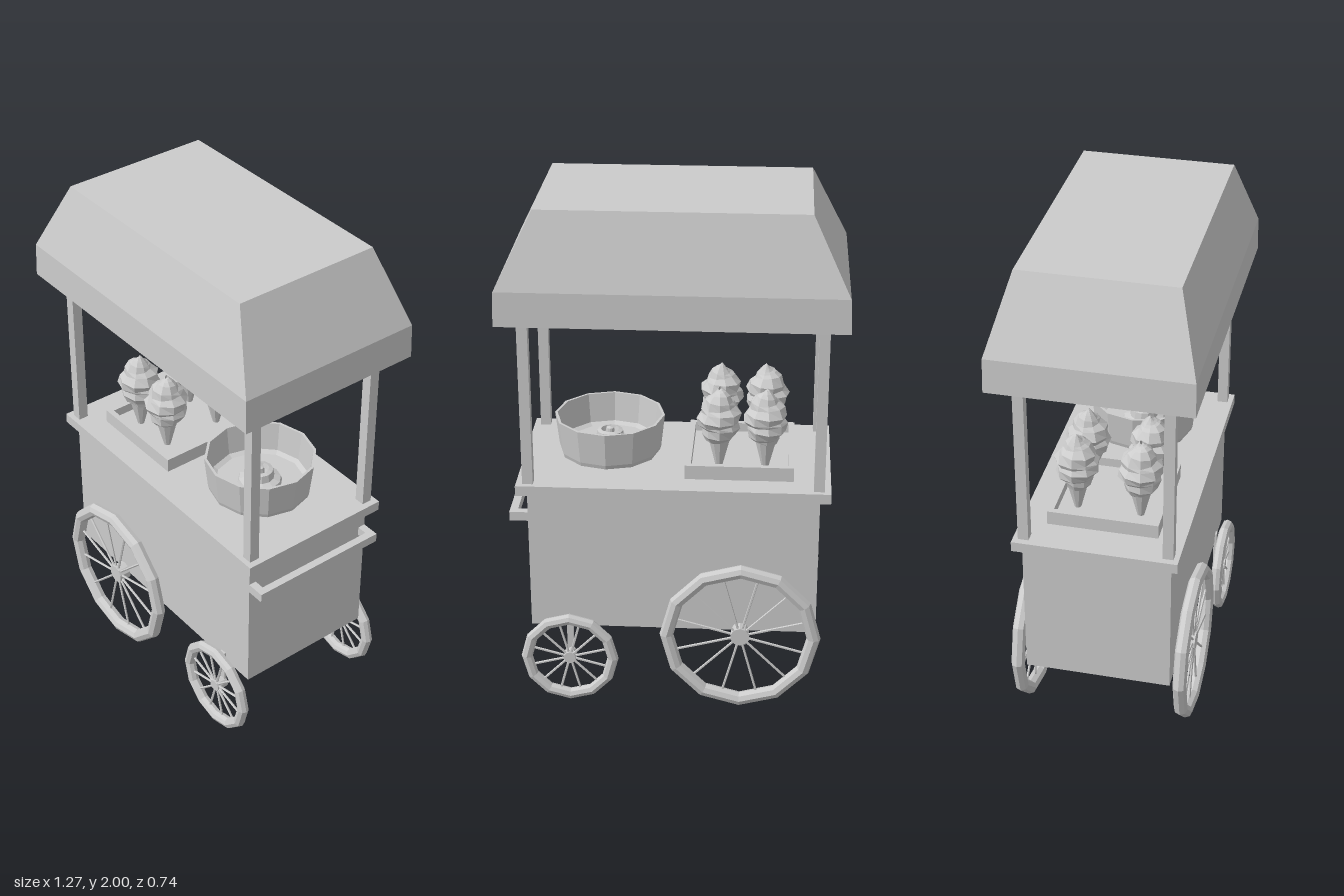
import * as THREE from 'three';

const mat = new THREE.MeshStandardMaterial({ color: 0xcccccc, flatShading: true, side: THREE.DoubleSide });

function add(parent, name, geo, x = 0, y = 0, z = 0) {
  const m = new THREE.Mesh(geo, mat);
  m.name = name;
  m.position.set(x, y, z);
  parent.add(m);
  return m;
}

// box given by its limits on each axis
function box(parent, name, x0, x1, y0, y1, z0, z1) {
  return add(parent, name, new THREE.BoxGeometry(x1 - x0, y1 - y0, z1 - z0),
    (x0 + x1) / 2, (y0 + y1) / 2, (z0 + z1) / 2);
}

// surface through centred rectangles [halfX, halfZ, y]
function rectLoft(sections) {
  const signs = [[1, 1], [1, -1], [-1, -1], [-1, 1]];
  const pos = [];
  const corner = (s, i) => [s[0] * signs[i % 4][0], s[2], s[1] * signs[i % 4][1]];
  for (let k = 0; k < sections.length - 1; k++) {
    for (let i = 0; i < 4; i++) {
      const a = corner(sections[k], i), b = corner(sections[k], i + 1);
      const c = corner(sections[k + 1], i + 1), d = corner(sections[k + 1], i);
      if (sections[k][0] > 0) pos.push(...a, ...b, ...c);
      if (sections[k + 1][0] > 0) pos.push(...a, ...c, ...d);
      if (sections[k][0] === 0) pos.splice(pos.length - 9, 9, ...a, ...c, ...d);
    }
  }
  const g = new THREE.BufferGeometry();
  g.setAttribute('position', new THREE.Float32BufferAttribute(pos, 3));
  g.computeVertexNormals();
  return g;
}

function lathe(points, sides) {
  return new THREE.LatheGeometry(points.map(p => new THREE.Vector2(p[0], p[1])), sides);
}

// spoked wheel in the xy plane; the hub reaches inwards to the body
function wheel(name, radius, tube, hubRadius, side) {
  const g = new THREE.Group();
  g.name = name;
  add(g, 'rim', new THREE.TorusGeometry(radius - tube, tube, 8, 12));
  const hub = add(g, 'hub', new THREE.CylinderGeometry(hubRadius, hubRadius, 0.05, 10), 0, 0, -side * 0.015);
  hub.rotation.x = Math.PI / 2;
  const len = radius - tube;
  for (let i = 0; i < 12; i++) {
    const a = (i + 0.5) * Math.PI / 6;
    const s = add(g, 'spoke', new THREE.CylinderGeometry(0.005, 0.005, len, 5),
      Math.cos(a) * len / 2, Math.sin(a) * len / 2, 0);
    s.rotation.z = a - Math.PI / 2;
  }
  return g;
}

// soft ice swirl: lathe with a spiral ridge
function swirlGeometry() {
  const ctrl = [[0.04, 0], [0.062, 0.03], [0.08, 0.07], [0.085, 0.105], [0.073, 0.145], [0.045, 0.185], [0.022, 0.205], [0.004, 0.22]];
  const curve = new THREE.SplineCurve(ctrl.map(p => new THREE.Vector2(...p)));
  const geo = new THREE.LatheGeometry(curve.getPoints(12), 9);
  const p = geo.attributes.position;
  for (let i = 0; i < p.count; i++) {
    const x = p.getX(i), y = p.getY(i), z = p.getZ(i);
    const phase = Math.atan2(z, x) + y * 2 * Math.PI * 15;
    const f = 0.94 + 0.11 * Math.cos(phase);
    p.setXYZ(i, x * f, y + 0.006 * Math.sin(phase), z * f);
  }
  geo.computeVertexNormals();
  return geo;
}

export function createModel() {
  const cart = new THREE.Group();
  cart.name = 'foodCart';

  // body and counter
  box(cart, 'body', -0.55, 0.55, 0.32, 0.89, -0.28, 0.28);
  box(cart, 'counter', -0.59, 0.59, 0.89, 0.93, -0.31, 0.31);

  // push handle
  const handle = new THREE.Group();
  handle.name = 'handle';
  cart.add(handle);
  box(handle, 'handleBar', 0.59, 0.62, 0.77, 0.806, -0.28, 0.28);
  for (const s of [-1, 1]) {
    const arm = box(handle, 'handleArm', 0.54, 0.6, 0.77, 0.806, -0.015, 0.015);
    arm.position.z = s * 0.265;
  }

  // posts and hollow canopy
  for (const sx of [-1, 1]) for (const sz of [-1, 1]) {
    add(cart, 'post', new THREE.BoxGeometry(0.04, 0.89, 0.04), sx * 0.545, 1.365, sz * 0.27);
  }
  add(cart, 'canopy', rectLoft([
    [0, 0, 1.81], [0.58, 0.34, 1.81], [0.622, 0.363, 1.72], [0.628, 0.366, 1.59],
    [0.635, 0.372, 1.59], [0.63, 0.37, 1.72], [0.492, 0.29, 2], [0, 0, 2],
  ]));

  // wheels, large pair and small pair
  for (const s of [-1, 1]) {
    const big = wheel('largeWheel', 0.31, 0.027, 0.037, s);
    big.position.set(-0.26, 0.315, s * 0.317);
    const small = wheel('smallWheel', 0.19, 0.022, 0.024, s);
    small.position.set(0.4, 0.198, s * 0.317);
    cart.add(big, small);
    add(cart, 'wheelBracket', new THREE.BoxGeometry(0.025, 0.18, 0.012), 0.4, 0.265, s * 0.281);
  }

  // tray with raised rim
  const tray = new THREE.Group();
  tray.name = 'tray';
  cart.add(tray);
  box(tray, 'trayFloor', -0.45, -0.04, 0.93, 0.95, -0.21, 0.21);
  for (const s of [-1, 1]) {
    add(tray, 'trayLongRim', new THREE.BoxGeometry(0.41, 0.055, 0.022), -0.245, 0.958, s * 0.199);
    add(tray, 'traySideRim', new THREE.BoxGeometry(0.022, 0.055, 0.376), -0.245 + s * 0.194, 0.958, 0);
  }

  // four ice cones
  const swirl = swirlGeometry();
  const wafer = new THREE.CylinderGeometry(0.05, 0.012, 0.15, 10);
  [[-0.34, 0.12], [-0.165, 0.12], [-0.34, -0.12], [-0.165, -0.12]].forEach(([x, z], i) => {
    const cone = new THREE.Group();
    cone.name = 'iceCone';
    cone.position.set(x, 0, z);
    cone.rotation.y = i * 1.3;
    add(cone, 'wafer', wafer, 0, 1.02, 0);
    add(cone, 'swirl', swirl, 0, 1.047, 0);
    cart.add(cone);
  });

  // spinning bowl with a raised centre
  const bowl = new THREE.Group();
  bowl.name = 'bowl';
  bowl.position.set(0.26, 0, 0);
  cart.add(bowl);
  add(bowl, 'bowlShell', lathe([
    [0, 0.942], [0.17, 0.942], [0.192, 0.952], [0.197, 0.968], [0.212, 1.1],
    [0.202, 1.1], [0.188, 0.985], [0.17, 0.975], [0, 0.975],
  ], 12));
  add(bowl, 'bowlBase', new THREE.CylinderGeometry(0.13, 0.13, 0.02, 12), 0, 0.937, 0);
  add(bowl, 'spinner', lathe([
    [0.085, 0.975], [0.08, 0.99], [0.055, 1.0], [0.05, 1.03], [0.035, 1.035],
    [0.03, 1.015], [0.018, 1.015], [0.015, 1.04], [0, 1.045],
  ], 12));

  return cart;
}
